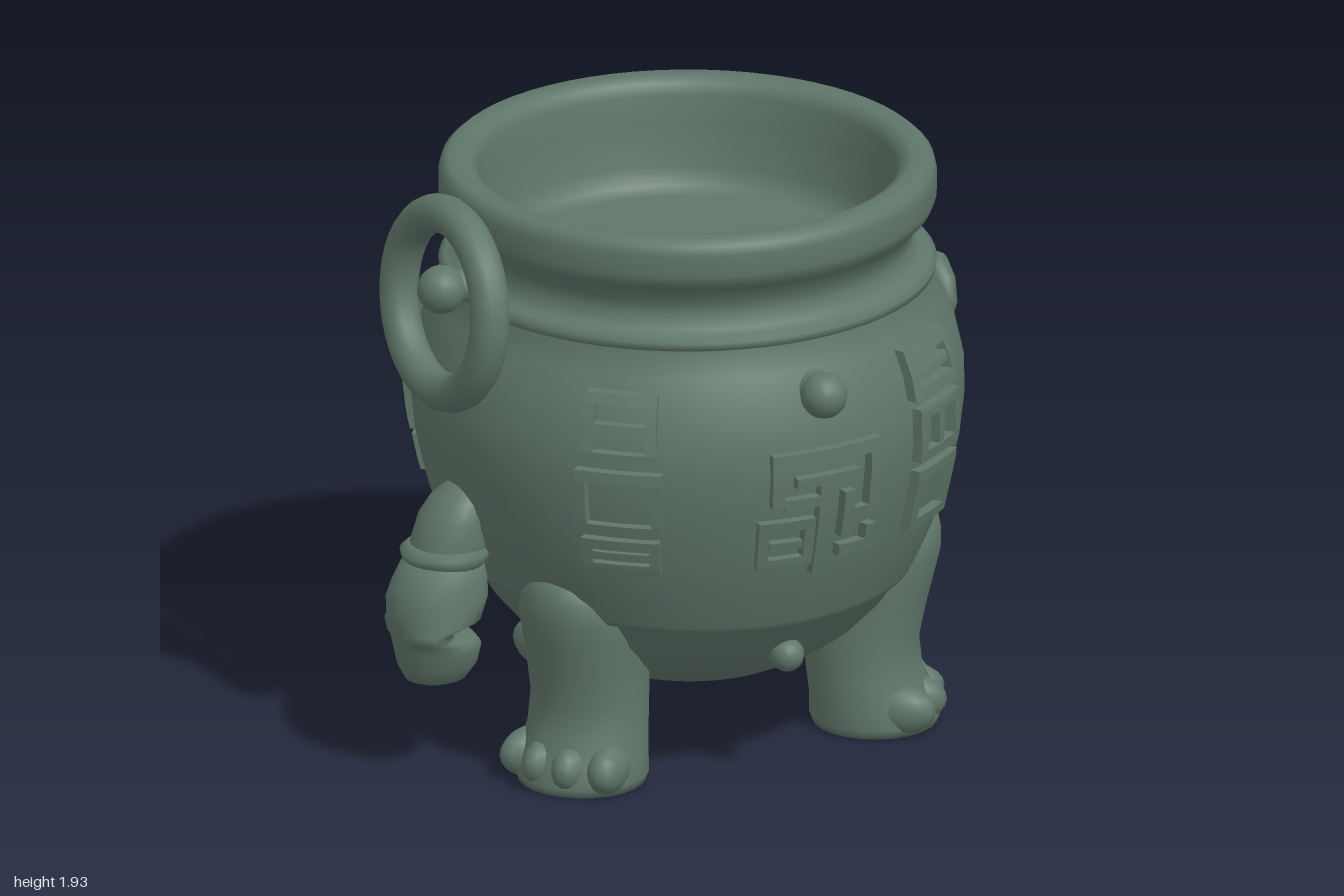
import * as THREE from 'three';

const bronze = new THREE.MeshStandardMaterial({ color: 0x60766a });
bronze.name = 'aged bronze green';
const rad = THREE.MathUtils.degToRad;

// Outer pot profile: [radius, y]
const outer = [
  [0, 0.2], [0.13, 0.204], [0.25, 0.23], [0.36, 0.27], [0.46, 0.32], [0.56, 0.39], [0.64, 0.47], [0.695, 0.56],
  [0.722, 0.565], [0.732, 0.585], [0.78, 0.7], [0.825, 0.83], [0.863, 1.0], [0.878, 1.13], [0.875, 1.24],
  [0.848, 1.36], [0.805, 1.46], [0.765, 1.54], [0.785, 1.55], [0.79, 1.575], [0.77, 1.595], [0.732, 1.603],
  [0.71, 1.645], [0.717, 1.69], [0.75, 1.74], [0.777, 1.765], [0.79, 1.8], [0.79, 1.87],
];
// Rim and shallow interior
const inner = [
  [0.782, 1.9], [0.76, 1.92], [0.71, 1.92], [0.68, 1.905], [0.665, 1.87], [0.655, 1.78],
  [0.635, 1.64], [0.61, 1.585], [0.57, 1.565], [0, 1.56],
];

function radiusAt(y) {
  for (let i = 1; i < outer.length; i++) {
    const [r0, y0] = outer[i - 1], [r1, y1] = outer[i];
    if (y <= y1) return r0 + (r1 - r0) * (y - y0) / (y1 - y0);
  }
  return 0.78;
}

// Turned vessel whose lower seam climbs towards the back
function vesselGeometry() {
  const g = new THREE.LatheGeometry([...outer, ...inner].map(([r, y]) => new THREE.Vector2(r, y)), 64);
  const p = g.attributes.position;
  for (let i = 0; i < p.count; i++) {
    const x = p.getX(i), y = p.getY(i), z = p.getZ(i), r = Math.hypot(x, z);
    const weight = y < 0.58 ? (y - 0.2) / 0.38 : Math.max(0, 1 - (y - 0.58) / 0.3);
    if (r > 0.001) p.setY(i, y + 0.045 * weight * (1 - z / r));
  }
  return g;
}

function add(parent, name, geometry, x = 0, y = 0, z = 0) {
  const mesh = new THREE.Mesh(geometry, bronze);
  mesh.name = name;
  mesh.position.set(x, y, z);
  parent.add(mesh);
  return mesh;
}

// Group whose local +x points away from the pot at the given angle
function spoke(parent, name, degrees) {
  const g = new THREE.Group();
  g.name = name;
  g.rotation.y = rad(degrees);
  parent.add(g);
  return g;
}

// Closed skin over elliptical sections [y, centreX, radiusX, radiusZ]
function loft(sections, sides = 24) {
  const pos = [], idx = [];
  for (const [y, cx, rx, rz] of sections)
    for (let i = 0; i < sides; i++) {
      const a = (i / sides) * Math.PI * 2;
      pos.push(cx + rx * Math.cos(a), y, rz * Math.sin(a));
    }
  const last = sections.length - 1, bottom = sections.length * sides, top = bottom + 1;
  pos.push(sections[0][1], sections[0][0], 0, sections[last][1], sections[last][0], 0);
  for (let i = 0; i < sides; i++) {
    const n = (i + 1) % sides;
    for (let j = 0; j < last; j++) {
      const a = j * sides + i, b = j * sides + n;
      idx.push(a, a + sides, b, b, a + sides, b + sides);
    }
    idx.push(bottom, i, n, top, last * sides + n, last * sides + i);
  }
  const g = new THREE.BufferGeometry();
  g.setAttribute('position', new THREE.Float32BufferAttribute(pos, 3));
  g.setIndex(idx);
  g.computeVertexNormals();
  return g;
}

// Raised bar bent onto the pot wall: u0..u1 across, y0..y1 up
function bar(parent, name, degrees, u0, u1, y0, y1, raise = 0.035) {
  const g = new THREE.BoxGeometry(u1 - u0, y1 - y0, raise + 0.02, 4, 4, 1);
  const p = g.attributes.position;
  for (let i = 0; i < p.count; i++) {
    const u = p.getX(i) + (u0 + u1) / 2, y = p.getY(i) + (y0 + y1) / 2;
    const r = radiusAt(y) + (p.getZ(i) > 0 ? raise : -0.02), a = rad(degrees) + u / 0.88;
    p.setXYZ(i, r * Math.cos(a), y, -r * Math.sin(a));
  }
  g.computeVertexNormals();
  add(parent, name, g);
}

function frame(parent, degrees, u0, u1, y0, y1, t = 0.035) {
  bar(parent, 'frameBottom', degrees, u0, u1, y0, y0 + t);
  bar(parent, 'frameTop', degrees, u0, u1, y1 - t, y1);
  bar(parent, 'frameLeft', degrees, u0, u0 + t, y0 + t, y1 - t);
  bar(parent, 'frameRight', degrees, u1 - t, u1, y0 + t, y1 - t);
}

// Column of small framed reliefs
function reliefColumn(parent, degrees, rows) {
  const g = new THREE.Group();
  g.name = 'reliefColumn';
  parent.add(g);
  for (const [y0, y1, split, half] of rows) {
    frame(g, degrees, -half, half, y0, y1);
    const m = (y0 + y1) / 2;
    if (split === 1) bar(g, 'crossBar', degrees, 0.03 - half, half - 0.03, m - 0.014, m + 0.014, 0.03);
    if (split === 2) bar(g, 'uprightBar', degrees, -0.015, 0.015, y0 + 0.03, y1 - 0.03, 0.03);
  }
}

// Large abstract fretwork panel
function fretPanel(parent, degrees) {
  const g = new THREE.Group();
  g.name = 'fretPanel';
  parent.add(g);
  const bars = [
    [-0.19, 0.2, 1.175, 1.22], [-0.19, -0.15, 1.04, 1.175], [0.155, 0.2, 0.96, 1.175],
    [-0.11, 0.11, 1.1, 1.135], [-0.15, -0.03, 1.03, 1.065], [-0.03, 0.02, 0.78, 1.1],
    [0.06, 0.1, 0.9, 1.06], [0.1, 0.155, 0.96, 0.995], [0.06, 0.2, 0.83, 0.87], [0.16, 0.2, 0.87, 0.92],
  ];
  for (const b of bars) bar(g, 'fretBar', degrees, ...b);
  frame(g, degrees, -0.23, -0.04, 0.82, 0.99);
  bar(g, 'fretBar', degrees, -0.19, -0.08, 0.89, 0.915);
}

function knob(parent, degrees, r, y, size) {
  const g = spoke(parent, 'knob', degrees);
  add(g, 'knobBall', new THREE.SphereGeometry(size, 16, 12), r, y, 0);
  const stem = add(g, 'knobStem', new THREE.CylinderGeometry(size * 0.8, size * 1.05, 0.14, 16), r - 0.07, y, 0);
  stem.rotation.z = -Math.PI / 2;
}

function leg(parent, degrees) {
  const g = spoke(parent, 'leg', degrees);
  add(g, 'legColumn', loft([
    [0, 0.595, 0.2, 0.205], [0.03, 0.595, 0.21, 0.215], [0.1, 0.585, 0.2, 0.208], [0.18, 0.56, 0.185, 0.195],
    [0.28, 0.55, 0.185, 0.19], [0.4, 0.56, 0.2, 0.195], [0.5, 0.57, 0.215, 0.2], [0.58, 0.59, 0.215, 0.2],
    [0.64, 0.605, 0.2, 0.18], [0.69, 0.625, 0.17, 0.145], [0.725, 0.645, 0.12, 0.1], [0.74, 0.66, 0.07, 0.05],
  ]));
  // Four rounded toes fanned along the front of the foot
  for (let i = 0; i < 4; i++) {
    const t = (i - 1.5) / 1.5;
    const toe = add(g, 'toe', new THREE.SphereGeometry(1, 14, 10), 0.71 - 0.045 * t * t, 0.08, 0.152 * t);
    toe.scale.set(0.115, 0.08, 0.064);
    toe.rotation.y = -0.25 * t;
  }
}

function arm(parent, degrees, inset) {
  const g = spoke(parent, 'arm', degrees);
  g.translateX(-inset);
  add(g, 'upperArm', loft([
    [0.7, 0.885, 0.12, 0.12], [0.78, 0.87, 0.125, 0.125], [0.86, 0.855, 0.11, 0.12],
    [0.92, 0.835, 0.085, 0.1], [0.965, 0.81, 0.05, 0.06], [0.98, 0.8, 0.02, 0.03],
  ]));
  add(g, 'cuff', loft([
    [0.71, 0.885, 0.12, 0.125], [0.73, 0.885, 0.14, 0.138], [0.755, 0.885, 0.145, 0.142], [0.775, 0.88, 0.12, 0.125],
  ]));
  // Curled fist with a small notch on the pot side
  add(g, 'fist', loft([
    [0.31, 0.93, 0.04, 0.04], [0.33, 0.92, 0.1, 0.09], [0.38, 0.915, 0.13, 0.125], [0.44, 0.915, 0.14, 0.145],
    [0.47, 0.93, 0.13, 0.15], [0.485, 0.975, 0.09, 0.15], [0.515, 0.98, 0.09, 0.155], [0.535, 0.925, 0.15, 0.155],
    [0.6, 0.915, 0.165, 0.155], [0.66, 0.905, 0.155, 0.14], [0.74, 0.89, 0.12, 0.125],
  ]));
}

export function createModel() {
  const model = new THREE.Group();
  model.name = 'tripodCauldron';
  const pot = new THREE.Group();
  pot.name = 'pot';
  pot.position.set(0.078, 0, -0.006);
  model.add(pot);

  add(pot, 'vessel', vesselGeometry());
  for (const a of [-26, -154, 90]) leg(pot, a);
  arm(pot, 180, 0);
  arm(pot, 37, 0.015);

  // Relief decoration
  for (const a of [-90, 90]) {
    fretPanel(pot, a);
    knob(pot, a, 0.87, 1.39, 0.075);
  }
  knob(pot, -90, 0.635, 0.435, 0.055);
  reliefColumn(pot, -57, [[0.83, 1.04, 0, 0.125], [1.07, 1.25, 2, 0.125], [1.28, 1.44, 1, 0.14]]);
  for (const a of [-134, 134])
    reliefColumn(pot, a, [[0.81, 0.93, 1, 0.13], [0.95, 1.17, 0, 0.14], [1.2, 1.42, 1, 0.12]]);

  // Hanging ring on the right side and the peg that carries it
  const ringMount = new THREE.Group();
  ringMount.name = 'ringMount';
  ringMount.position.set(-0.89, 1.585, 0.005);
  ringMount.rotation.z = -0.09;
  pot.add(ringMount);
  add(ringMount, 'hangingRing', new THREE.TorusGeometry(0.287, 0.063, 14, 40)).rotation.y = Math.PI / 2;
  const peg = add(pot, 'ringPeg', new THREE.CylinderGeometry(0.05, 0.06, 0.25, 14), -0.79, 1.64, 0.02);
  peg.rotation.z = Math.PI / 2;
  add(pot, 'ringPegBall', new THREE.SphereGeometry(0.078, 16, 12), -0.91, 1.64, 0.02);

  // Octagonal boss on the left side
  const boss = spoke(pot, 'boss', -8);
  const rim = add(boss, 'bossRim', new THREE.TorusGeometry(0.09, 0.042, 10, 8), 0.84, 1.35, 0);
  rim.rotation.set(0, Math.PI / 2, 0.18, 'YXZ');
  add(boss, 'bossCentre', new THREE.SphereGeometry(0.05, 8, 6), 0.84, 1.35, 0);

  // Curved grip handle
  const path = new THREE.CatmullRomCurve3([
    [0.7, 1.79, -0.24], [0.77, 1.785, -0.33], [0.835, 1.735, -0.425], [0.862, 1.63, -0.465],
    [0.858, 1.5, -0.46], [0.83, 1.4, -0.395], [0.77, 1.335, -0.3],
  ].map((p) => new THREE.Vector3(...p)));
  add(pot, 'gripHandle', new THREE.TubeGeometry(path, 32, 0.063, 12));

  return model;
}
